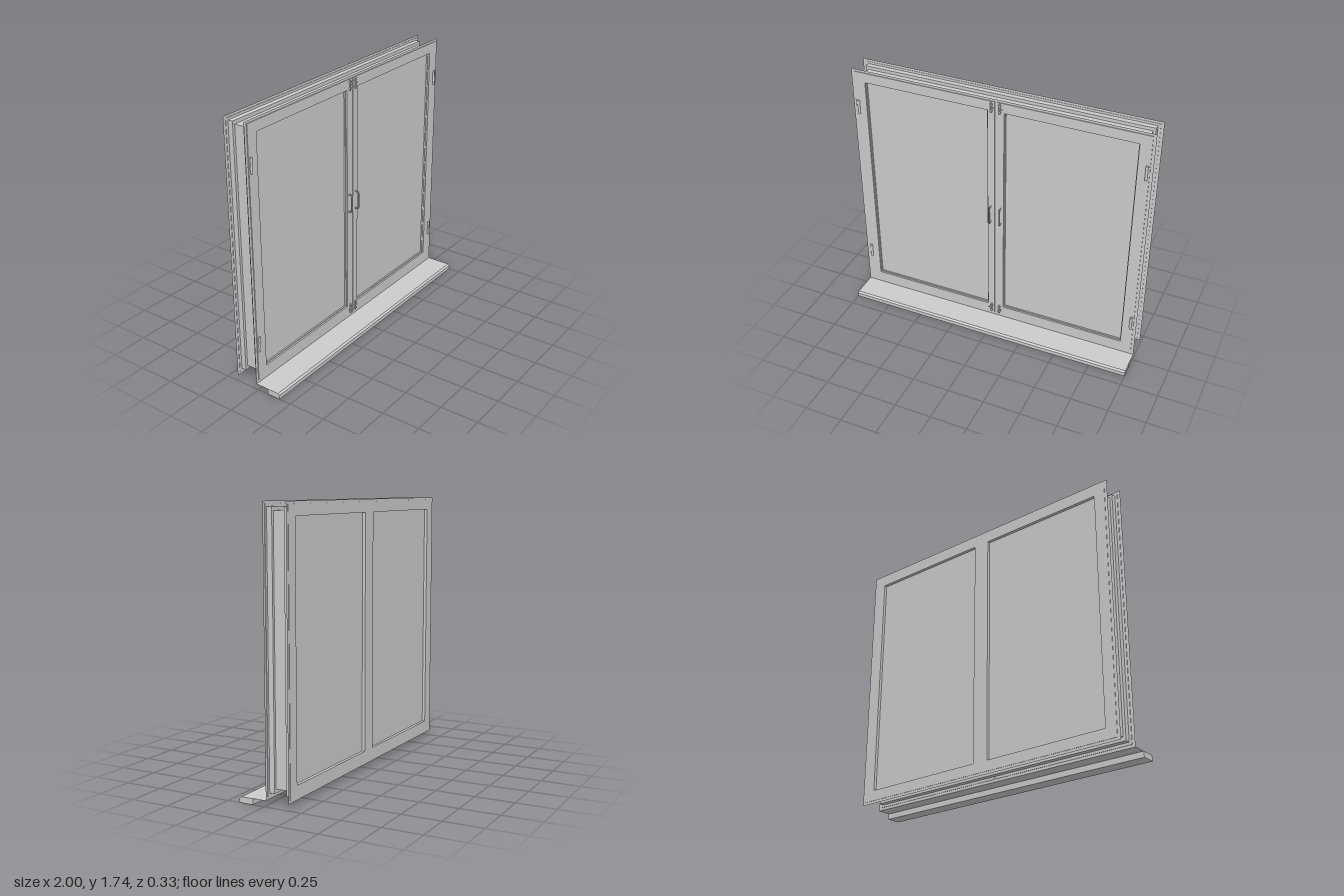
import * as THREE from 'three';

const mat = new THREE.MeshStandardMaterial({ color: 0xcccccc, flatShading: true });
const sheetMat = new THREE.MeshStandardMaterial({ color: 0xcccccc, side: THREE.DoubleSide });
const smoothMat = new THREE.MeshStandardMaterial({ color: 0xcccccc });

// Glazed opening of each leaf (mirrored in x)
const PANE = { x0: 0.055, x1: 0.905, y0: 0.125, y1: 1.66 };

function rect(target, x0, x1, y0, y1) {
  target.moveTo(x0, y0);
  target.lineTo(x1, y0);
  target.lineTo(x1, y1);
  target.lineTo(x0, y1);
  target.closePath();
  return target;
}

// Rectangle with the pane openings that fall inside it
function frameShape(x0, x1, y0, y1) {
  const s = rect(new THREE.Shape(), x0, x1, y0, y1);
  if (x1 > PANE.x1) s.holes.push(rect(new THREE.Path(), PANE.x0, PANE.x1, PANE.y0, PANE.y1));
  if (x0 < -PANE.x1) s.holes.push(rect(new THREE.Path(), -PANE.x1, -PANE.x0, PANE.y0, PANE.y1));
  return s;
}

function slab(shape, z0, z1) {
  const g = new THREE.ExtrudeGeometry(shape, { depth: z1 - z0, bevelEnabled: false });
  return g.translate(0, 0, z0);
}

function boxAt(x0, x1, y0, y1, z0, z1) {
  return new THREE.BoxGeometry(x1 - x0, y1 - y0, z1 - z0)
    .translate((x0 + x1) / 2, (y0 + y1) / 2, (z0 + z1) / 2);
}

export function createModel() {
  const root = new THREE.Group();
  const add = (name, geometry, material = mat, parent = root) => {
    const m = new THREE.Mesh(geometry, material);
    m.name = name;
    parent.add(m);
    return m;
  };

  // Stepped frame body: narrow core between two wider rebates
  add('frameCore', slab(frameShape(-0.946, 0.946, 0.097, 1.69), -0.129, -0.05));
  add('frontRebate', slab(frameShape(-0.963, 0.963, 0.072, 1.712), -0.05, -0.017));
  add('backRebate', slab(frameShape(-0.963, 0.963, 0.072, 1.712), -0.162, -0.129));

  // Thin outer flanges, front and back
  for (const [name, z] of [['frontFlange', -0.0135], ['backFlange', -0.1645]]) {
    add(name, new THREE.ShapeGeometry(frameShape(-1, 1, 0.037, 1.743)).translate(0, 0, z), sheetMat);
  }
  add('backCover', slab(frameShape(-0.98, 0.98, 0.055, 1.727), -0.167, -0.162));

  for (const side of [-1, 1]) {
    const label = side > 0 ? 'left' : 'right';
    const span = (a, b) => (side > 0 ? [a, b] : [-b, -a]);

    // Door leaf face
    add(label + 'Leaf', slab(frameShape(...span(0.007, 0.98), 0.055, 1.727), -0.017, -0.009));

    // Recessed pane and its gasket
    add(label + 'Pane', boxAt(...span(PANE.x0, PANE.x1), PANE.y0, PANE.y1, -0.147, -0.03));
    const gasket = rect(new THREE.Shape(), ...span(PANE.x0, PANE.x1), PANE.y0, PANE.y1);
    gasket.holes.push(rect(new THREE.Path(), ...span(PANE.x0 + 0.006, PANE.x1 - 0.006),
      PANE.y0 + 0.006, PANE.y1 - 0.006));
    add(label + 'Gasket', slab(gasket, -0.03, -0.02));

    // Bow handle with round feet
    const hx = 0.035 * side;
    const handle = new THREE.Group();
    handle.name = label + 'Handle';
    root.add(handle);
    const path = new THREE.CurvePath();
    const v = (y, z) => new THREE.Vector3(hx, y, z);
    path.add(new THREE.LineCurve3(v(0.832, -0.01), v(0.832, 0.004)));
    path.add(new THREE.QuadraticBezierCurve3(v(0.832, 0.004), v(0.832, 0.016), v(0.846, 0.016)));
    path.add(new THREE.LineCurve3(v(0.846, 0.016), v(0.938, 0.016)));
    path.add(new THREE.QuadraticBezierCurve3(v(0.938, 0.016), v(0.952, 0.016), v(0.952, 0.004)));
    path.add(new THREE.LineCurve3(v(0.952, 0.004), v(0.952, -0.01)));
    add('handleBow', new THREE.TubeGeometry(path, 48, 0.0045, 10), smoothMat, handle);
    for (const y of [0.832, 0.952]) {
      add('handleFoot', new THREE.CylinderGeometry(0.008, 0.008, 0.004, 12)
        .rotateX(Math.PI / 2).translate(hx, y, -0.008), mat, handle);
    }

    // Hinges: barrel and offset leaf
    for (const y of [0.308, 1.475]) {
      const hinge = new THREE.Group();
      hinge.name = label + 'Hinge';
      root.add(hinge);
      add('hingeBarrel', new THREE.CylinderGeometry(0.008, 0.008, 0.1, 12)
        .translate(0.962 * side, y, -0.007), mat, hinge);
      add('hingeLeaf', boxAt(...span(0.962, 0.982), y, y + 0.045, -0.012, -0.006), mat, hinge);
    }

    // Sliding bolts at the top and bottom of the meeting stiles
    for (const y of [0.1, 1.687]) {
      const bolt = new THREE.Group();
      bolt.name = label + 'Bolt';
      root.add(bolt);
      const bx = 0.028 * side;
      add('boltRod', new THREE.CylinderGeometry(0.005, 0.005, 0.068, 10)
        .translate(bx, y, -0.004), mat, bolt);
      const dir = side < 0 && y < 1 ? -1 : 1;
      add('boltKnob', new THREE.CylinderGeometry(0.003, 0.003, 0.02, 8)
        .rotateZ(Math.PI / 2).translate(bx + 0.01 * dir, y, -0.002), mat, bolt);
      for (const dy of [-0.02, 0.02]) {
        add('boltGuide', boxAt(bx - 0.008, bx + 0.008, y + dy - 0.005, y + dy + 0.005, -0.01, 0.002), mat, bolt);
      }
    }
  }

  // Sill: thin plate ending in a solid stepped nosing
  add('sillPlate', new THREE.PlaneGeometry(2, 0.089).rotateX(-Math.PI / 2)
    .translate(0, 0.037, 0.0305), sheetMat);
  const nosing = new THREE.Shape([
    [0.075, 0], [0.167, 0], [0.167, 0.027], [0.155, 0.037], [0.075, 0.037],
  ].map(([z, y]) => new THREE.Vector2(z, y)));
  add('sillNosing', new THREE.ExtrudeGeometry(nosing, { depth: 2, bevelEnabled: false })
    .rotateY(-Math.PI / 2).translate(1, 0, 0));

  return root;
}
